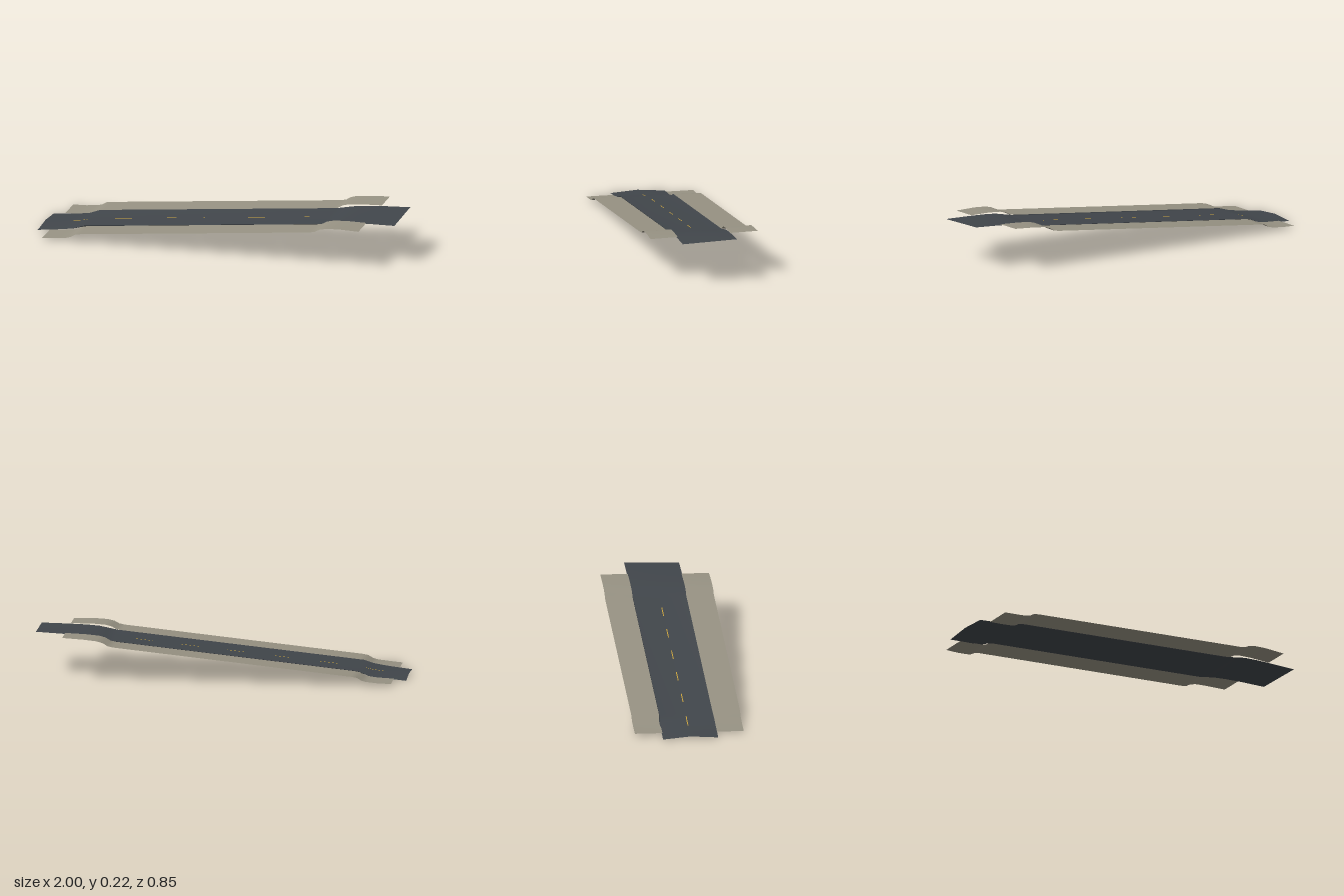
import * as THREE from 'three';

const material = (color) => new THREE.MeshStandardMaterial({ color, side: THREE.DoubleSide });

// Surface through rows of [along, height, across] points, rows running left to right
function loft(name, rows, mat) {
  const n = rows[0].length, index = [];
  for (let i = 0; i < rows.length - 1; i++) {
    for (let j = 0; j < n - 1; j++) {
      const a = i * n + j, b = a + 1, c = a + n, d = c + 1;
      index.push(a, b, c, b, d, c);
    }
  }
  const geo = new THREE.BufferGeometry();
  geo.setAttribute('position', new THREE.Float32BufferAttribute(rows.flat(2), 3));
  geo.setIndex(index);
  geo.computeVertexNormals();
  const mesh = new THREE.Mesh(geo, mat);
  mesh.name = name;
  return mesh;
}

// Lengthwise profiles: [along, height at back edge, height at front edge, crown]
const ROAD = [
  [-0.988, 0.001, 0.001, 0.011], [-0.92, 0.008, 0.009, 0.007], [-0.85, 0.014, 0.018, 0.003],
  [-0.79, 0.022, 0.028, 0.001], [-0.73, 0.041, 0.042, 0], [0.58, 0.174, 0.174, 0],
  [0.63, 0.188, 0.188, 0], [0.68, 0.198, 0.198, 0], [0.75, 0.206, 0.203, 0],
  [0.85, 0.214, 0.206, 0], [0.988, 0.221, 0.208, 0],
];
const GROUND = [
  [-0.922, 0.013, 0.005], [-0.85, 0.015, 0.012], [-0.79, 0.021, 0.019], [-0.765, 0.027, 0.026],
  [-0.74, 0.042, 0.041], [-0.71, 0.047, 0.047], [0.56, 0.176, 0.176], [0.59, 0.182, 0.182],
  [0.615, 0.198, 0.196], [0.65, 0.208, 0.204], [0.72, 0.215, 0.208], [0.832, 0.222, 0.205],
];
const HALF_ROAD = 0.147, HALF_GROUND = 0.29, LIP = 0.143;

export function createModel() {
  const group = new THREE.Group();
  const asphalt = material(0x41464b), earth = material(0x979283), paint = material(0xc9a23c);

  // Carriageway, with a small raised lip along the sloping middle stretch
  const roadRows = ROAD.map(([s, back, front, crown]) => {
    const middle = s > -0.75 && s < 0.6;
    const edge = middle ? LIP : HALF_ROAD, lip = middle ? 0.005 : 0;
    const mid = (back + front) / 2 + crown;
    return [[s, back + lip, -edge], [s, back, -0.14], [s, mid, 0], [s, front, 0.14], [s, front + lip, edge]];
  });
  group.add(loft('roadSurface', roadRows, asphalt));

  // Ground strips on both sides of the road
  for (const side of [-1, 1]) {
    const rows = GROUND.map(([s, back, front]) => {
      const point = (v) => [s, back + (front - back) * (v / HALF_GROUND + 1) / 2, v];
      const ends = [side * LIP, side * HALF_GROUND].sort((a, b) => a - b);
      return [point(ends[0]), point((ends[0] + ends[1]) / 2), point(ends[1])];
    });
    group.add(loft(side < 0 ? 'backVerge' : 'frontVerge', rows, earth));
  }

  // Centre line dashes follow the road height
  const roadHeight = (s) => {
    const i = Math.max(1, ROAD.findIndex((r) => r[0] >= s));
    const mid = (r) => (r[1] + r[2]) / 2 + r[3];
    const a = ROAD[i - 1], b = ROAD[i];
    return THREE.MathUtils.lerp(mid(a), mid(b), (s - a[0]) / (b[0] - a[0]));
  };
  for (let k = 0; k < 6; k++) {
    const start = -0.85 + k * 0.2455, rows = [];
    for (let j = 0; j <= 4; j++) {
      const s = start + j * 0.0238, y = roadHeight(s) + 0.0015;
      rows.push([[s, y, -0.0025], [s, y, 0.0025]]);
    }
    group.add(loft('centreDash' + (k + 1), rows, paint));
  }

  // Turn the whole stretch diagonally
  const angle = Math.atan2(0.31, 1.95);
  group.rotation.y = angle;
  group.position.set(-0.008 * Math.sin(angle), 0, -0.008 * Math.cos(angle));
  const model = new THREE.Group();
  model.name = 'slopingRoad';
  group.name = 'roadSection';
  model.add(group);
  return model;
}
